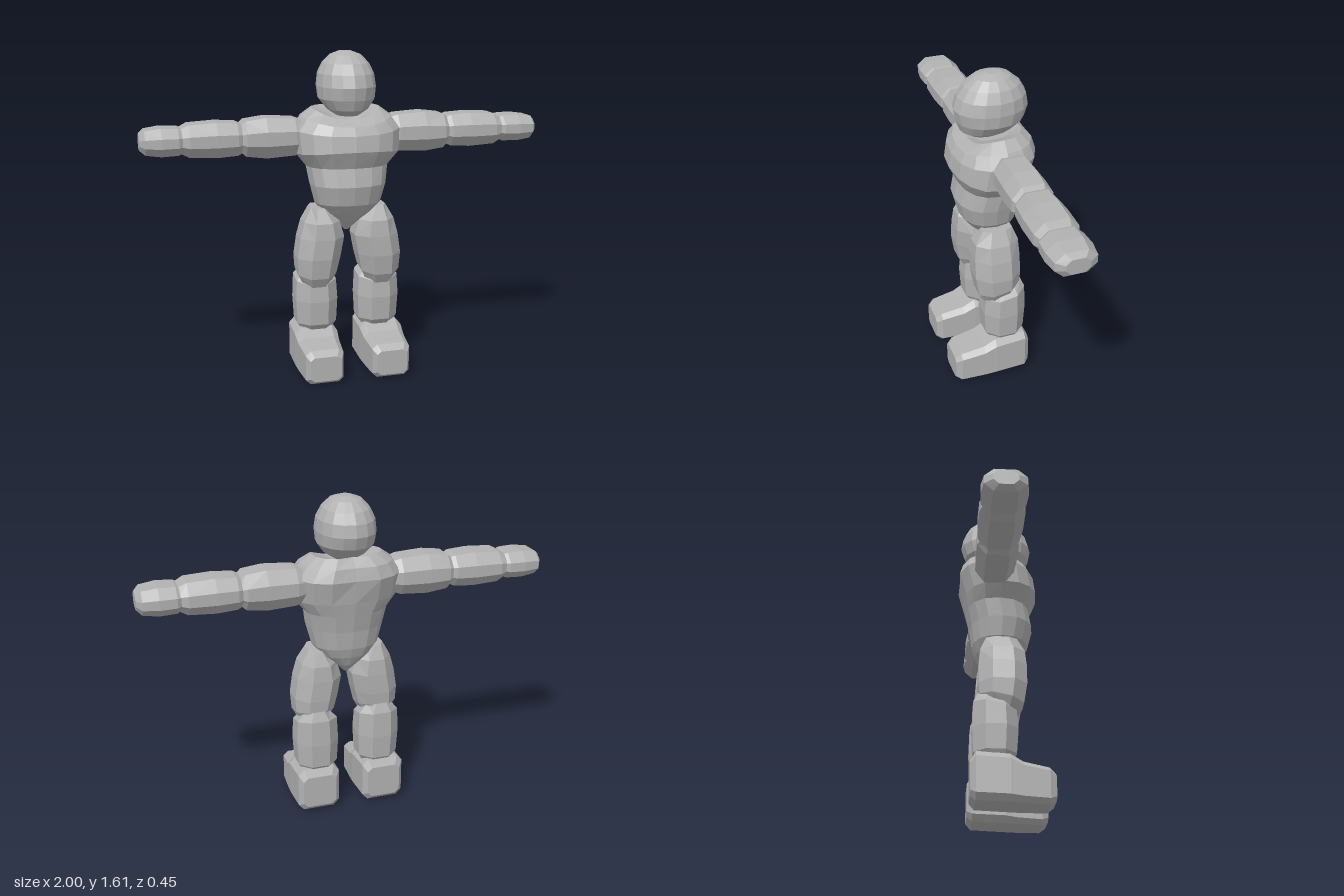
import * as THREE from 'three';

const grey = new THREE.MeshStandardMaterial({ color: 0xb2b2b2, flatShading: true });
grey.name = 'plainGrey';

// Skin closed cross-sections into a faceted solid with fanned end caps
function loft(name, rings) {
  const tris = [];
  const n = rings[0].length;
  for (let i = 0; i + 1 < rings.length; i++) {
    for (let j = 0; j < n; j++) {
      const k = (j + 1) % n;
      const [a, b, c, d] = [rings[i][j], rings[i][k], rings[i + 1][k], rings[i + 1][j]];
      tris.push([a, b, c], [a, c, d]);
    }
  }
  for (const [ring, first] of [[rings[0], true], [rings.at(-1), false]]) {
    const mid = ring.reduce((s, p) => s.add(p), new THREE.Vector3()).divideScalar(n);
    for (let j = 0; j < n; j++) {
      const a = ring[j], b = ring[(j + 1) % n];
      tris.push(first ? [mid, b, a] : [mid, a, b]);
    }
  }
  // Turn every face outwards, whichever way the sections were traced
  const cross = new THREE.Vector3();
  const volume = tris.reduce((v, [a, b, c]) => v + a.dot(cross.crossVectors(b, c)), 0);
  if (volume < 0) tris.forEach((t) => t.reverse());
  const geo = new THREE.BufferGeometry().setFromPoints(tris.flat());
  geo.computeVertexNormals();
  const mesh = new THREE.Mesh(geo, grey);
  mesh.name = name;
  return mesh;
}

// Chamfered box outline, c being the share of each side left straight
const octagon = (c, d = c) => [
  [1, -c], [1, c], [d, 1], [-d, 1], [-1, c], [-1, -c], [-d, -1], [d, -1],
];

// Rounded horizontal section with different front and back depths
function bodyRing([y, w, front, back, dip = 0, notch = 0], sides, power) {
  const cz = (front + back) / 2, d = (front - back) / 2;
  return Array.from({ length: sides }, (_, i) => {
    const a = (i / sides) * Math.PI * 2;
    const s = Math.sin(a), c = Math.cos(a);
    const bend = (v) => Math.sign(v) * Math.abs(v) ** (2 / power);
    const x = w * bend(c);
    let z = cz + d * bend(s);
    if (s < -0.99) z += notch;
    return new THREE.Vector3(x, y - dip * Math.max(0, s) ** 2, z);
  });
}

// Upright limb section: [y, x0, x1, z0, z1, tilt]
function legRing([y, x0, x1, z0, z1, tilt = 0], side) {
  return octagon(0.45).map(([u, v]) => new THREE.Vector3(
    side * ((x0 + x1) / 2 + u * (x1 - x0) / 2),
    y - tilt * v,
    (z0 + z1) / 2 + v * (z1 - z0) / 2,
  ));
}

// Sideways limb section: [x, half height, half depth]
function armRing([x, h, d], side) {
  return octagon(0.35, 0.55).map(([u, v]) =>
    new THREE.Vector3(side * x, 1.2 + v * h, -0.055 + u * d));
}

// Foot section: [z, half width, bottom, top]
function footRing([z, w, y0, y1], side) {
  return octagon(0.74).map(([u, v]) =>
    new THREE.Vector3(side * 0.17 + u * w, (y0 + y1) / 2 + v * (y1 - y0) / 2, z));
}

export function createModel() {
  const model = new THREE.Group();
  model.name = 'figure';

  // Head, a faceted egg with a slight chin
  model.add(loft('head', [
    [1.605, 0.03, -0.01, -0.085],
    [1.588, 0.075, 0.045, -0.13],
    [1.55, 0.112, 0.093, -0.175],
    [1.5, 0.136, 0.127, -0.203],
    [1.44, 0.143, 0.146, -0.213],
    [1.38, 0.137, 0.135, -0.193],
    [1.33, 0.1, 0.115, -0.14],
    [1.3, 0.055, 0.07, -0.09],
  ].map((r) => bodyRing(r, 16, 2.1))));

  // Torso: sunken collar, broad chest, waist and pointed crotch
  model.add(loft('torso', [
    [1.29, 0.07, 0.03, -0.12, 0.02],
    [1.335, 0.17, 0.08, -0.17, 0.05, 0.02],
    [1.295, 0.225, 0.135, -0.215, 0.04, 0.015],
    [1.235, 0.268, 0.16, -0.232, 0.02, 0.015],
    [1.12, 0.258, 0.172, -0.2, -0.02],
    [1.055, 0.205, 0.132, -0.185],
    [0.965, 0.19, 0.15, -0.165],
    [0.87, 0.165, 0.125, -0.152],
    [0.82, 0.125, 0.088, -0.135],
    [0.77, 0.06, 0.045, -0.11],
    [0.72, 0.012, -0.01, -0.06],
  ].map((r) => bodyRing(r, 16, 2.35))));

  for (const [side, label] of [[1, 'left'], [-1, 'right']]) {
    const arm = new THREE.Group();
    arm.name = label + 'Arm';
    const armParts = {
      UpperArm: [[0.2, 0.07, 0.075], [0.26, 0.09, 0.095], [0.4, 0.098, 0.1], [0.5, 0.085, 0.098], [0.53, 0.06, 0.08]],
      Forearm: [[0.5, 0.06, 0.075], [0.54, 0.078, 0.097], [0.64, 0.084, 0.104], [0.77, 0.077, 0.103], [0.815, 0.055, 0.085]],
      Hand: [[0.785, 0.05, 0.08], [0.82, 0.064, 0.101], [0.9, 0.067, 0.105], [0.975, 0.057, 0.095], [1, 0.036, 0.055]],
    };
    for (const [part, rows] of Object.entries(armParts)) {
      arm.add(loft(label + part, rows.map((r) => armRing(r, side))));
    }

    const leg = new THREE.Group();
    leg.name = label + 'Leg';
    const legParts = {
      Thigh: [
        [0.85, 0.11, 0.19, -0.09, 0.06],
        [0.78, 0.05, 0.228, -0.118, 0.098],
        [0.7, 0.028, 0.25, -0.124, 0.106],
        [0.6, 0.047, 0.265, -0.125, 0.106],
        [0.52, 0.066, 0.26, -0.12, 0.09, 0.02],
        [0.475, 0.09, 0.235, -0.1, 0.062, 0.025],
      ],
      Shin: [
        [0.525, 0.1, 0.225, -0.13, 0.03, 0.02],
        [0.48, 0.06, 0.262, -0.148, 0.055, 0.02],
        [0.37, 0.054, 0.267, -0.152, 0.063],
        [0.25, 0.06, 0.26, -0.146, 0.055],
        [0.215, 0.08, 0.24, -0.12, 0.03],
      ],
    };
    for (const [part, rows] of Object.entries(legParts)) {
      leg.add(loft(label + part, rows.map((r) => legRing(r, side))));
    }
    leg.add(loft(label + 'Foot', [
      [-0.16, 0.085, 0.035, 0.2],
      [-0.135, 0.106, 0.01, 0.24],
      [0.02, 0.11, 0.005, 0.23],
      [0.08, 0.105, 0.002, 0.195],
      [0.2, 0.096, 0, 0.172],
      [0.23, 0.078, 0.02, 0.145],
    ].map((r) => footRing(r, side))));
    model.add(arm, leg);
  }
  return model;
}
